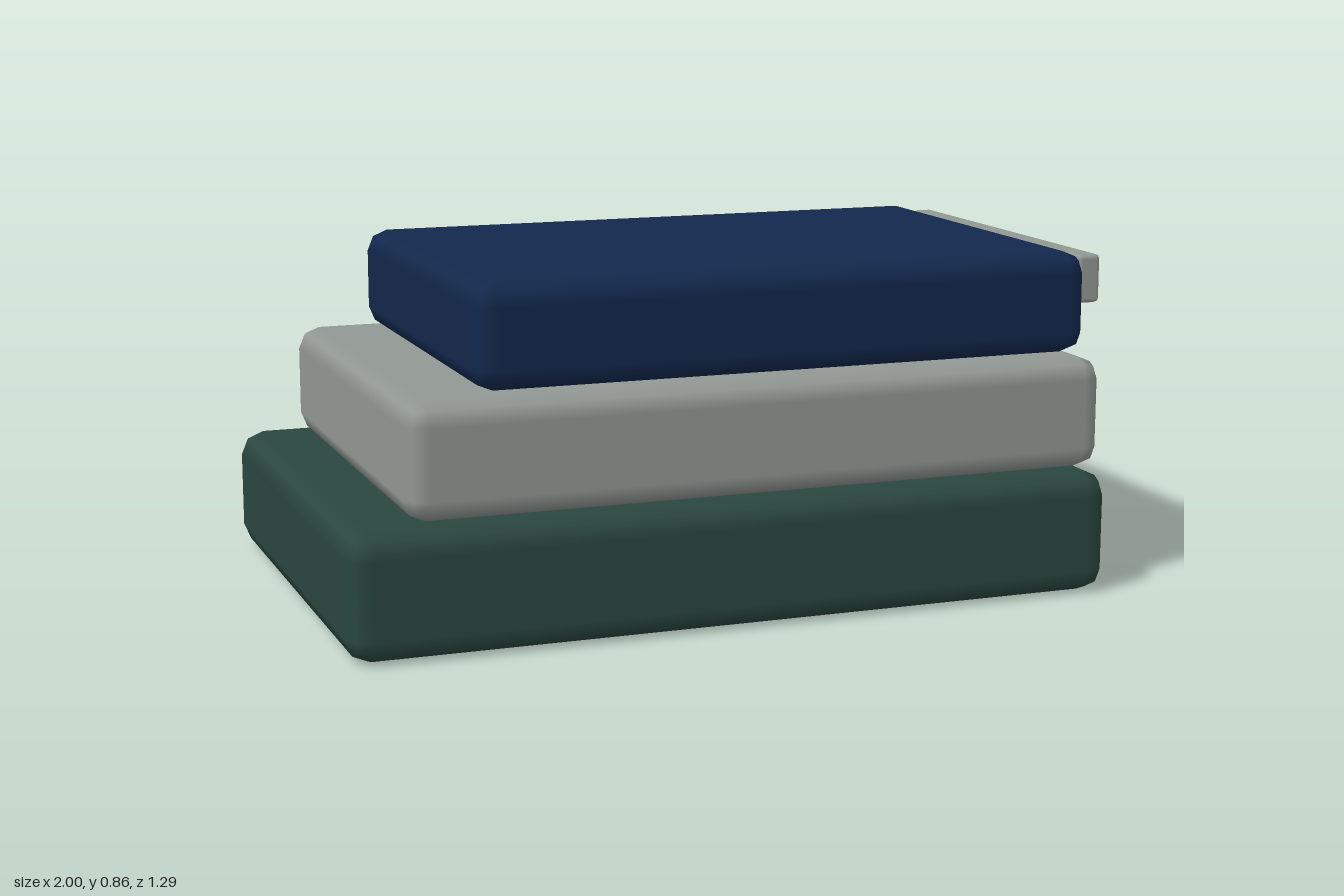
import * as THREE from 'three';
import { RoundedBoxGeometry } from 'three/addons/geometries/RoundedBoxGeometry.js';

// A bevelled slab spanning the given x and y ranges, centred in z
function slab(name, color, [x0, x1], [y0, y1], depth, radius) {
  const geometry = new RoundedBoxGeometry(x1 - x0, y1 - y0, depth, 1, radius);
  const mesh = new THREE.Mesh(geometry, new THREE.MeshStandardMaterial({ color }));
  mesh.name = name;
  mesh.position.set((x0 + x1) / 2, (y0 + y1) / 2, 0);
  return mesh;
}

export function createModel() {
  const model = new THREE.Group();
  model.name = 'stackedSlabs';
  model.add(
    // Three slabs stacked from largest to smallest, nearly flush on the +x side
    slab('bottomSlab', 0x2a473f, [-1, 0.963], [0, 0.312], 1.295, 0.06),
    slab('middleSlab', 0x929894, [-0.845, 0.963], [0.312, 0.596], 1.193, 0.055),
    slab('topSlab', 0x12284c, [-0.663, 0.94], [0.6, 0.857], 1.09, 0.053),
    // Thin strip along the side of the top slab
    slab('sideStrip', 0x929894, [0.938, 1], [0.719, 0.843], 0.98, 0.012),
  );
  return model;
}
